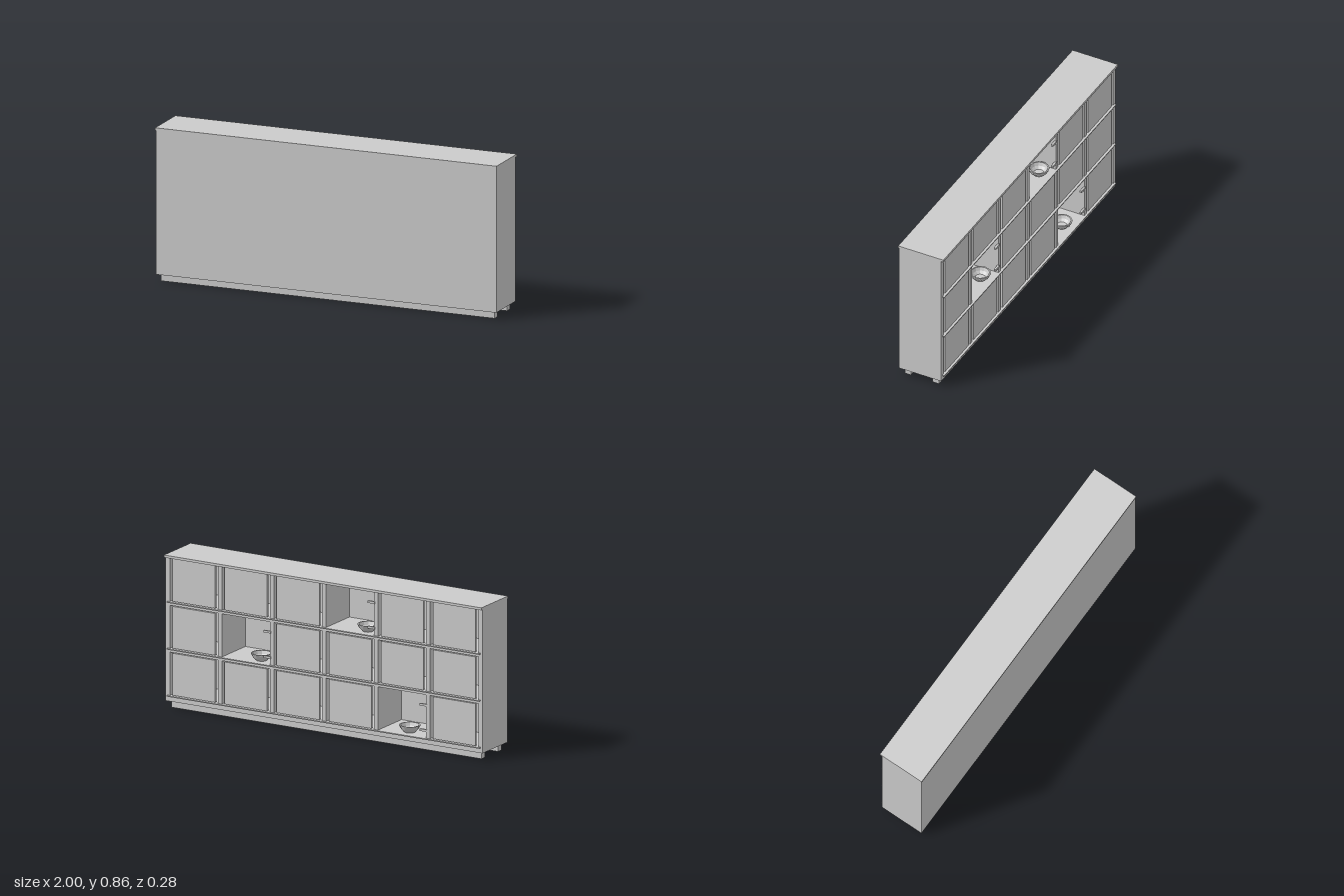
import * as THREE from 'three';

const material = new THREE.MeshStandardMaterial({ color: 0xcccccc });
const bowlMaterial = new THREE.MeshStandardMaterial({ color: 0xcccccc, side: THREE.DoubleSide, flatShading: true });

// Box given by its limits on each axis
function slab(parent, name, [x0, x1], [y0, y1], [z0, z1]) {
  const mesh = new THREE.Mesh(new THREE.BoxGeometry(x1 - x0, y1 - y0, z1 - z0), material);
  mesh.position.set((x0 + x1) / 2, (y0 + y1) / 2, (z0 + z1) / 2);
  mesh.name = name;
  parent.add(mesh);
  return mesh;
}

const COLS = 6, PITCH = 0.328, HALF_BOARD = 0.012;
const FLOORS = [0.073, 0.336, 0.598];
const CEILINGS = [0.315, 0.577, 0.843];
const BACK = -0.123, FRONT = 0.135, PANEL = 0.12;
// Cells without a door, as row,column counted from +x
const OPEN = ['0,4', '1,1', '2,3'];

export function createModel() {
  const model = new THREE.Group();
  model.name = 'lockerCabinet';

  // Shell
  slab(model, 'topBoard', [-1, 1], [0.843, 0.857], [-0.137, 0.138]);
  slab(model, 'frontPanel', [-0.998, 0.998], [0.04, 0.843], [PANEL, FRONT]);
  slab(model, 'bottomBoard', [-0.998, 0.998], [0.04, FLOORS[0]], [BACK, PANEL]);
  for (const s of [-1, 1]) {
    slab(model, 'sidePanel', [s * 0.985 - 0.013, s * 0.985 + 0.013], [FLOORS[0], 0.843], [BACK, PANEL]);
  }

  // Floor runners
  slab(model, 'frontRunner', [-0.977, 0.977], [0, 0.04], [0.072, 0.11]);
  slab(model, 'backRunner', [-0.977, 0.977], [0, 0.04], [-0.098, -0.06]);

  // Shelves, dividers and the lips along each row
  for (let r = 0; r < 3; r++) {
    if (r > 0) slab(model, 'shelf', [-0.972, 0.972], [CEILINGS[r - 1], FLOORS[r]], [BACK, PANEL]);
    slab(model, 'shelfLip', [-0.985, 0.985], [FLOORS[r] - 0.006, FLOORS[r]], [-0.135, BACK]);
    for (let c = 1; c < COLS; c++) {
      const x = (c - COLS / 2) * PITCH;
      slab(model, 'divider', [x - HALF_BOARD, x + HALF_BOARD], [FLOORS[r], CEILINGS[r]], [BACK, PANEL]);
    }
  }

  // Bowl: thin outer wall, broad rim and hollow inside
  const bowlProfile = [
    [0, 0], [0.03, 0], [0.048, 0.018], [0.058, 0.036], [0.058, 0.04],
    [0.05, 0.04], [0.042, 0.022], [0.028, 0.008], [0, 0.008],
  ].map(([r, y]) => new THREE.Vector2(r, y));
  const bowlGeometry = new THREE.LatheGeometry(bowlProfile, 12);
  const addBowl = (x, y) => {
    const bowl = new THREE.Mesh(bowlGeometry, bowlMaterial);
    bowl.name = 'bowl';
    bowl.position.set(x, y, -0.06);
    model.add(bowl);
  };

  // Doors on closed cells, hinge pegs and bowls in the open ones
  for (let r = 0; r < 3; r++) {
    for (let c = 0; c < COLS; c++) {
      const x = ((COLS - 1) / 2 - c) * PITCH;
      if (!OPEN.includes(`${r},${c}`)) {
        slab(model, 'door', [x - 0.134, x + 0.134], [FLOORS[r] + 0.003, CEILINGS[r] - 0.004], [BACK, -0.111]);
        continue;
      }
      const wall = x - PITCH / 2 + HALF_BOARD;
      for (const h of [0.042, 0.184]) {
        slab(model, 'hingePeg', [wall - 0.006, wall + 0.04], [FLOORS[r] + h - 0.006, FLOORS[r] + h + 0.006], [-0.127, -0.115]);
      }
      addBowl(x - [0.01, 0.06, 0.075][r], FLOORS[r]);
    }
  }
  addBowl(-0.85, FLOORS[1]);

  return model;
}
